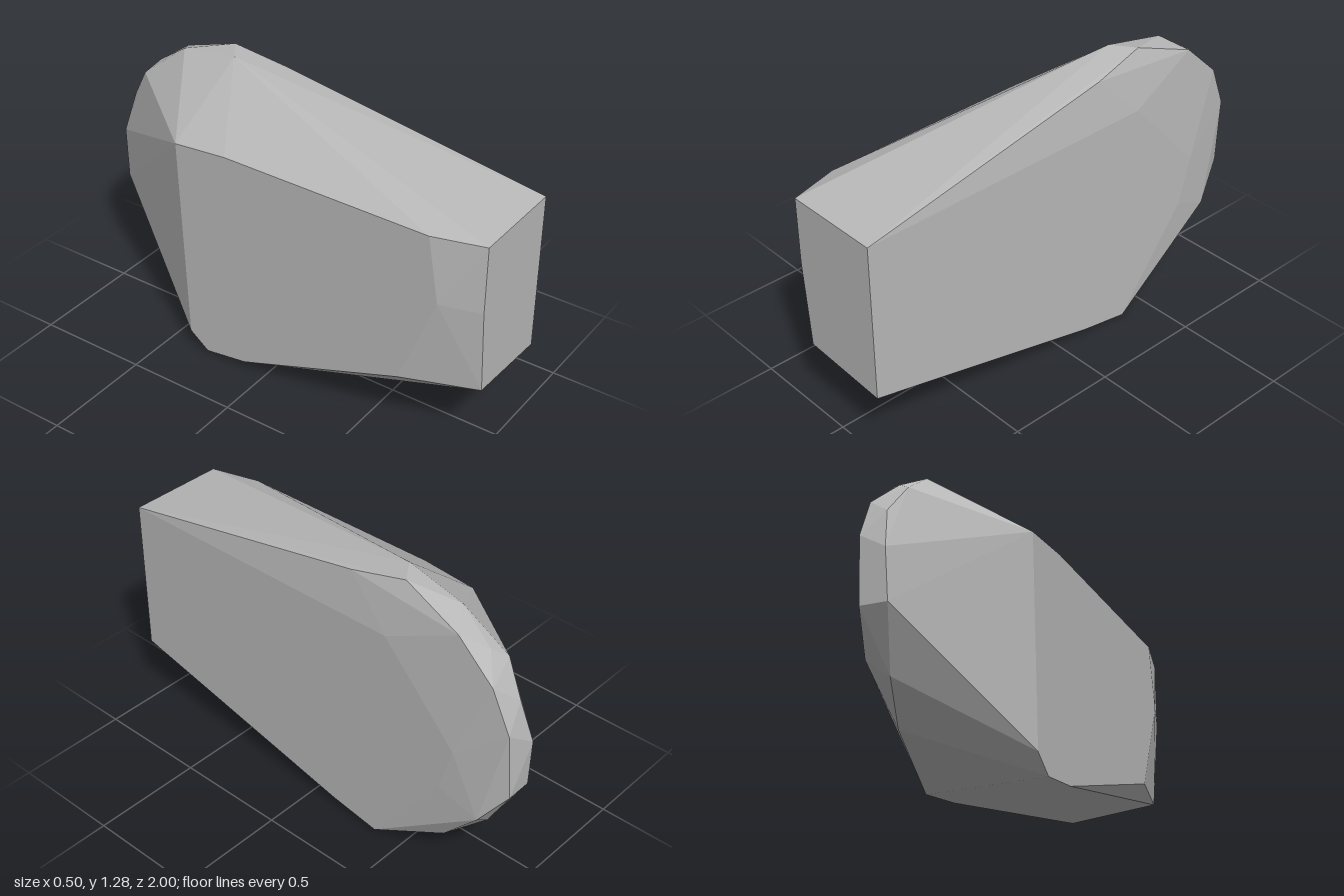
import * as THREE from 'three';
import { ConvexGeometry } from 'three/addons/geometries/ConvexGeometry.js';

// Faceted block: flat front and sides, swelling to a rounded back.
export function createModel() {
  const group = new THREE.Group();
  group.name = 'facetedBlock';
  const stone = new THREE.MeshStandardMaterial({ color: 0xb8b8b8 });
  stone.name = 'stone grey';

  // Flat front face
  const front = [
    [0.25, 1.02, 1], [0.25, 0.31, 1], [-0.16, 0.335, 1], [-0.19, 0.72, 1], [-0.19, 1.02, 1],
  ];
  // Flat side on -x
  const rightSide = [
    [-0.25, 1.02, 0.78], [-0.25, 0.73, 0.83], [-0.25, 0.31, 0.67], [-0.25, 0.038, -0.1],
    [-0.25, 0.01, -0.3], [-0.25, 0.08, -0.39], [-0.25, 1.01, -0.43], [-0.25, 1.03, -0.18],
  ];
  // Flat side on +x
  const leftSide = [
    [0.25, 0.04, -0.13], [0.25, 0, -0.36], [0.25, 0.44, -0.69], [0.25, 0.65, -0.75],
    [0.25, 1.03, -0.4],
  ];
  // Top ridge
  const ridge = [
    [0.22, 1.23, -0.2], [0.09, 1.28, -0.38], [0.19, 1.28, -0.45], [0.11, 1.23, -0.66],
    [0.22, 1.18, -0.73], [0.14, 1.12, -0.82],
  ];
  // Rounded back, from top to bottom
  const back = [
    [0.075, 1.07, -0.86], [0.22, 1.02, -0.9], [0.11, 0.93, -0.95], [0.21, 0.83, -0.98],
    [0.08, 0.74, -1], [0.19, 0.52, -0.99], [0.07, 0.515, -0.985], [0.23, 0.36, -0.87],
    [0.13, 0.28, -0.85], [0.19, 0.14, -0.68],
  ];

  const points = [front, rightSide, leftSide, ridge, back]
    .flat().map((p) => new THREE.Vector3(...p));
  const body = new THREE.Mesh(new ConvexGeometry(points), stone);
  body.name = 'body';
  group.add(body);
  return group;
}
